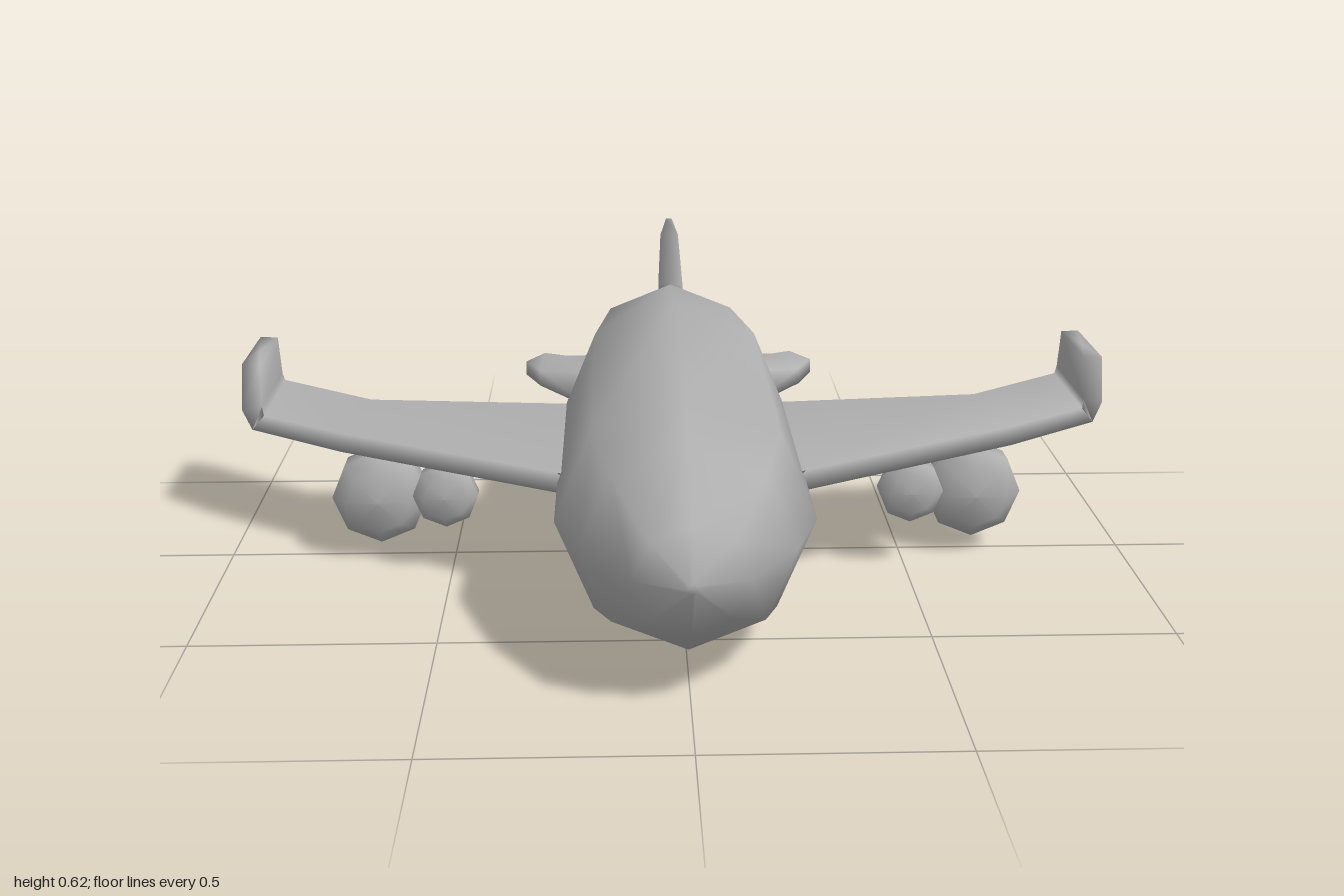
import * as THREE from 'three';

const grey = new THREE.MeshStandardMaterial({ color: 0xb0b0b0 });
grey.name = 'hull grey';

// Smooth skin over a list of equal-length rings, closed at both ends.
function loft(name, rings, mirror = false) {
  const n = rings[0].length, m = rings.length;
  const pts = rings.flat().map(([x, y, z]) => new THREE.Vector3(mirror ? -x : x, y, z));
  const centre = (ring) => ring.reduce((s, p) => s.add(p), new THREE.Vector3()).divideScalar(n);
  const a = pts.length, b = a + 1;
  pts.push(centre(pts.slice(0, n)), centre(pts.slice((m - 1) * n, m * n)));
  const tris = [];
  for (let i = 0; i < n; i++) {
    const j = (i + 1) % n;
    tris.push([a, j, i], [b, (m - 1) * n + i, (m - 1) * n + j]);
    for (let k = 0; k < m - 1; k++) {
      const p = k * n, q = p + n;
      tris.push([p + i, p + j, q + j], [p + i, q + j, q + i]);
    }
  }
  // Turn the faces outward whichever way the rings run.
  let volume = 0;
  const cross = new THREE.Vector3();
  for (const [i, j, k] of tris) volume += pts[i].dot(cross.crossVectors(pts[j], pts[k]));
  if (volume < 0) tris.forEach((t) => t.reverse());
  const g = new THREE.BufferGeometry().setFromPoints(pts);
  g.setIndex(tris.flat());
  g.computeVertexNormals();
  const mesh = new THREE.Mesh(g, grey);
  mesh.name = name;
  return mesh;
}

// Eight-sided body ring with a corner on top.
function bodyRing([z, halfWidth, bottom, top]) {
  const ring = [];
  for (let i = 0; i < 8; i++) {
    const t = i * Math.PI / 4;
    ring.push([Math.sin(t) * halfWidth, (top + bottom) / 2 + Math.cos(t) * (top - bottom) / 2, z]);
  }
  return ring;
}

// Squat engine pod: eight sides about the z axis.
function pod(name, x, y, z, r, half) {
  const profile = [[0, -1], [0.66, -0.9], [1, -0.4], [1, 0.4], [0.66, 0.9], [0, 1]]
    .map(([a, b]) => new THREE.Vector2(a * r, b * half));
  const mesh = new THREE.Mesh(new THREE.LatheGeometry(profile, 8).rotateX(Math.PI / 2), grey);
  mesh.position.set(x, y, z);
  mesh.name = name;
  return mesh;
}

export function createModel() {
  const model = new THREE.Group();
  model.name = 'airplane';

  // Fuselage: z, half width, bottom, top
  model.add(loft('fuselage', [
    [0.865, 0.01, 0.25, 0.27],
    [0.83, 0.11, 0.155, 0.37],
    [0.67, 0.21, 0.055, 0.47],
    [0.51, 0.26, 0, 0.522],
    [-0.23, 0.26, 0, 0.522],
    [-0.57, 0.21, 0.07, 0.482],
    [-0.735, 0.115, 0.15, 0.4],
    [-0.77, 0.02, 0.25, 0.28],
  ].map(bodyRing)));

  // Wing with upturned tip; corners run lower front, upper front, upper rear, lower rear
  const flat = (x1, z1, x2, z2) => [
    [x1, 0.238, z1], [x1, 0.282, z1], [x2, 0.282, z2], [x2, 0.238, z2],
  ];
  const wing = [
    flat(0.2, 0.31, 0.2, -0.215),
    flat(0.26, 0.275, 0.26, -0.22),
    flat(0.75, -0.012, 0.71, -0.267),
    [[0.975, 0.238, -0.18], [0.94, 0.282, -0.145], [0.94, 0.282, -0.44], [0.975, 0.238, -0.462]],
    [[1, 0.28, -0.2], [0.945, 0.3, -0.155], [0.945, 0.3, -0.44], [1, 0.28, -0.483]],
    [[0.992, 0.39, -0.2], [0.95, 0.39, -0.19], [0.95, 0.39, -0.435], [0.992, 0.39, -0.44]],
  ];

  // Tailplane, swept back and thinning from the body
  const tailplane = [
    [[0.12, 0.13, -0.56], [0.17, 0.27, -0.56], [0.08, 0.27, -0.73], [0.06, 0.17, -0.73]],
    [[0.2, 0.16, -0.575], [0.21, 0.255, -0.575], [0.115, 0.255, -0.738], [0.11, 0.18, -0.735]],
    [[0.33, 0.2, -0.65], [0.33, 0.24, -0.65], [0.27, 0.238, -0.8], [0.27, 0.205, -0.8]],
    [[0.37, 0.2, -0.755], [0.37, 0.235, -0.755], [0.325, 0.228, -0.863], [0.325, 0.212, -0.863]],
  ];

  for (const [side, s] of [['left', 1], ['right', -1]]) {
    model.add(loft(side + 'Wing', wing, s < 0));
    model.add(loft(side + 'Tailplane', tailplane, s < 0));
    model.add(pod(side + 'OuterEngine', 0.665 * s, 0.137, -0.022, 0.106, 0.076));
    model.add(pod(side + 'InnerEngine', 0.51 * s, 0.172, 0.085, 0.071, 0.045));
  }

  // Tail fin: front and rear edge of each level with its half thickness
  const finLevel = ([y1, z1, y2, z2, w]) => [
    [w, y1, z1], [-w, y1, z1], [-w * 0.8, y2, z2], [w * 0.8, y2, z2],
  ];
  model.add(loft('tailFin', [
    [0.44, -0.56, 0.36, -0.71, 0.03],
    [0.482, -0.57, 0.4, -0.735, 0.03],
    [0.585, -0.675, 0.5, -0.787, 0.022],
    [0.62, -0.708, 0.54, -0.81, 0.007],
  ].map(finLevel)));

  return model;
}
